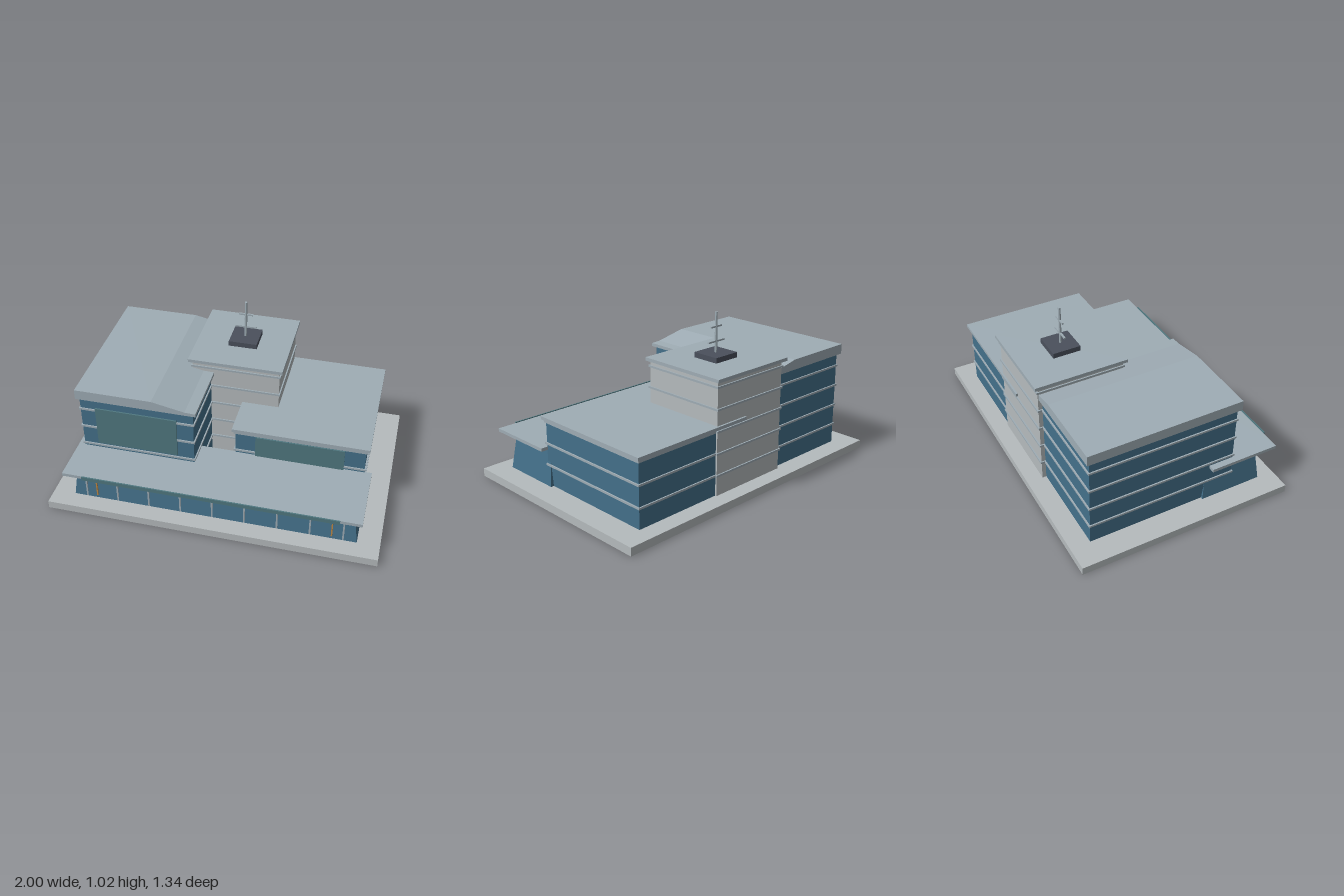
import * as THREE from 'three';

const mat = (color) => new THREE.MeshStandardMaterial({ color, flatShading: true });

export function createModel() {
  const model = new THREE.Group();
  const glass = mat(0x44708a), trim = mat(0x9fadb5), stone = mat(0xb5bbbd);
  const screen = mat(0x507880), dark = mat(0x4a505c), bronze = mat(0xc08a45);

  const add = (name, geometry, material, parent = model) => {
    const mesh = new THREE.Mesh(geometry, material);
    mesh.name = name;
    parent.add(mesh);
    return mesh;
  };

  // Box given by its limits along each axis
  const block = (name, material, [x0, x1], [y0, y1], [z0, z1], parent) => {
    const g = new THREE.BoxGeometry(x1 - x0, y1 - y0, z1 - z0);
    g.translate((x0 + x1) / 2, (y0 + y1) / 2, (z0 + z1) / 2);
    return add(name, g, material, parent);
  };

  // Building volume with a thin ledge at each floor line
  const volume = (name, material, x, z, top, floors) => {
    const group = new THREE.Group();
    group.name = name;
    model.add(group);
    block(name + 'Walls', material, x, [0.05, top], z, group);
    const o = 0.008;
    for (const y of floors) {
      block(name + 'Ledge', trim, [x[0] - o, x[1] + o], [y - 0.006, y + 0.006], [z[0] - o, z[1] + o], group);
    }
    return group;
  };

  block('basePlate', stone, [-1, 1], [0, 0.05], [-0.672, 0.672]);

  // Tall wing with a roof that slopes down towards the middle
  const tall = volume('tallWing', glass, [-0.85, -0.155], [-0.55, 0.37], 0.65, [0.175, 0.307, 0.44, 0.57]);
  const profile = new THREE.Shape([
    [-0.87, 0.647], [-0.135, 0.647], [-0.135, 0.667], [-0.2, 0.67],
    [-0.3, 0.69], [-0.4, 0.71], [-0.87, 0.71],
  ].map(([x, y]) => new THREE.Vector2(x, y)));
  const roof = new THREE.ExtrudeGeometry(profile, { depth: 0.957, bevelEnabled: false });
  roof.translate(0, 0, -0.57);
  add('slopedRoof', roof, trim, tall);
  block('tallWingScreen', screen, [-0.755, -0.255], [0.33, 0.59], [0.374, 0.383], tall);

  // Low wing
  const low = volume('lowWing', glass, [0.06, 0.845], [-0.565, 0.22], 0.457, [0.175, 0.307, 0.44]);
  block('lowWingRoof', trim, [0.042, 0.867], [0.453, 0.473], [-0.587, 0.238], low);
  block('lowWingScreen', screen, [0.185, 0.722], [0.285, 0.428], [0.222, 0.23], low);

  // Central tower
  const tower = volume('tower', stone, [-0.27, 0.27], [-0.575, -0.035], 0.735, [0.175, 0.307, 0.44, 0.57, 0.7]);
  block('towerRoof', trim, [-0.293, 0.29], [0.733, 0.753], [-0.598, -0.015], tower);
  block('plantRoom', dark, [-0.088, 0.088], [0.753, 0.785], [-0.39, -0.216], tower);

  // Antenna with two crossbars
  const antenna = new THREE.Group();
  antenna.name = 'antenna';
  antenna.position.set(0, 0, -0.303);
  model.add(antenna);
  add('mast', new THREE.CylinderGeometry(0.008, 0.008, 0.24, 12), trim, antenna).position.y = 0.905;
  for (const [y, half] of [[0.851, 0.065], [0.939, 0.043]]) {
    block('crossbar', trim, [-half, half], [y - 0.005, y + 0.005], [-0.005, 0.005], antenna);
  }

  // Glazed entrance hall: a box tapering inwards towards the top
  const hall = new THREE.BoxGeometry(1.73, 0.22, 0.39);
  const p = hall.attributes.position;
  for (let i = 0; i < p.count; i++) {
    if (p.getY(i) > 0) p.setXYZ(i, p.getX(i) * 0.965, p.getY(i), p.getZ(i) * 0.87);
  }
  hall.computeVertexNormals();
  add('entranceHall', hall, glass).position.set(0, 0.16, 0.37);
  block('canopy', trim, [-0.89, 0.89], [0.266, 0.286], [0.215, 0.65]);
  block('canopyFascia', screen, [-0.765, 0.765], [0.265, 0.29], [0.652, 0.66]);

  // Mullions and door pulls along the hall front
  for (let i = -4; i <= 4; i++) {
    const x = i * 0.196;
    block('mullion', trim, [x - 0.005, x + 0.005], [0.05, 0.268], [0.553, 0.565]);
  }
  for (const x of [-0.717, 0.717]) {
    block('doorPull', bronze, [x - 0.004, x + 0.004], [0.07, 0.25], [0.56, 0.569]);
  }

  return model;
}
